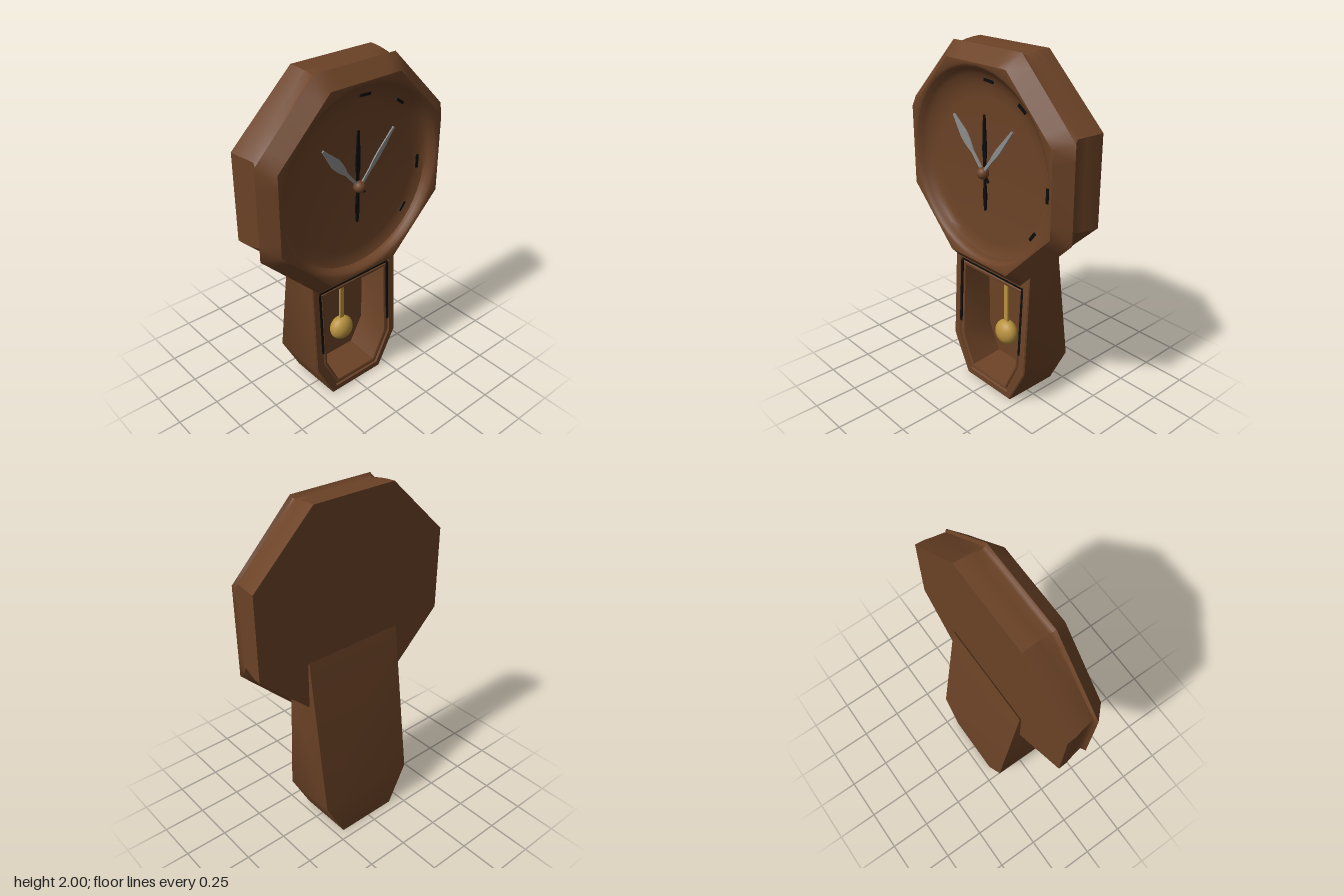
import * as THREE from 'three';
import { toCreasedNormals } from 'three/addons/utils/BufferGeometryUtils.js';

const mat = (name, color) => Object.assign(new THREE.MeshStandardMaterial({ color }), { name });

// Skin through rings of equal point count (counter-clockwise from the front), capped at both ends
function loft(rings, crease) {
  const pos = [], n = rings[0].length;
  const quad = (a, b, c, d) => [a, b, c, a, c, d].forEach(p => pos.push(...p));
  for (let k = 0; k + 1 < rings.length; k++) {
    for (let i = 0; i < n; i++) {
      const j = (i + 1) % n;
      quad(rings[k][i], rings[k][j], rings[k + 1][j], rings[k + 1][i]);
    }
  }
  const cap = (r, flip) => {
    for (let k = 0; k < n / 2 - 1; k++) {
      const c = [r[(n - k) % n], r[1 + k], r[2 + k], r[n - 1 - k]];
      quad(...(flip ? c.reverse() : c));
    }
  };
  cap(rings[0], true);
  cap(rings[rings.length - 1], false);
  const g = new THREE.BufferGeometry();
  g.setAttribute('position', new THREE.Float32BufferAttribute(pos, 3));
  return toCreasedNormals(g, crease);
}

// Octagonal or round ring for the clock head
function headRing(r, z, cy, { round = false, ry = r, cx = 0 } = {}) {
  return Array.from({ length: 48 }, (_, i) => {
    const t = i / 48 * Math.PI * 2, eighth = Math.PI / 4;
    const off = ((t + eighth / 2) % eighth) - eighth / 2;
    const k = round ? 1 : 1 / Math.cos(off);
    return [cx + r * k * Math.cos(t), cy + ry * k * Math.sin(t), z];
  });
}

// Six-sided ring for the pendulum case; zAt gives depth by height
function caseRing(halfLow, half, bottom, shoulder, top, zAt) {
  const c = 0.012;
  return [[-halfLow, bottom], [halfLow, bottom], [half, shoulder], [half, top], [-half, top], [-half, shoulder]]
    .map(([x, y]) => [c + x, y, zAt(y)]);
}

export function createModel() {
  const group = new THREE.Group();
  const wood = mat('brown wood', 0x6b4226);
  const silver = mat('silver metal', 0x8c8c8c);
  const black = mat('black', 0x0c0c0c);
  const gold = mat('gold metal', 0xb8923f);

  const add = (name, geometry, material, x = 0, y = 0, z = 0) => {
    const m = new THREE.Mesh(geometry, material);
    m.name = name;
    m.position.set(x, y, z);
    group.add(m);
    return m;
  };

  // Octagonal head with waisted side, chamfered bezel and dished dial
  add('clockHead', loft([
    headRing(0.62, -0.06, 1.415, { ry: 0.585 }),
    headRing(0.617, -0.01, 1.415, { ry: 0.583 }),
    headRing(0.606, 0.04, 1.415, { ry: 0.578 }),
    headRing(0.598, 0.09, 1.418, { ry: 0.565 }),
    headRing(0.603, 0.107, 1.39, { ry: 0.595 }),
    headRing(0.617, 0.12, 1.383),
    headRing(0.543, 0.197, 1.383),
    headRing(0.535, 0.197, 1.383, { round: true }),
    headRing(0.522, 0.188, 1.381, { round: true }),
    headRing(0.508, 0.165, 1.375, { round: true }),
    headRing(0.497, 0.15, 1.365, { round: true, cx: 0.005 }),
    headRing(0.484, 0.138, 1.352, { round: true, cx: 0.01 }),
    headRing(0.45, 0.125, 1.347, { round: true, cx: 0.01 }),
    headRing(0.40, 0.12, 1.345, { round: true, cx: 0.01 }),
  ], 0.75), wood);

  // Tapered pendulum case with stepped frame and hollow
  const back = y => -0.195 + Math.max(0, y - 0.235) * 0.134;
  const front = y => 0.143 - Math.max(0, y - 0.235) * 0.055;
  const inset = d => y => front(y) - d;
  add('pendulumCase', loft([
    caseRing(0.187, 0.307, 0, 0.235, 1.17, back),
    caseRing(0.187, 0.307, 0, 0.235, 0.88, inset(0.006)),
    caseRing(0.182, 0.301, 0.006, 0.237, 0.87, front),
    caseRing(0.162, 0.265, 0.04, 0.245, 0.755, front),
    caseRing(0.159, 0.26, 0.045, 0.247, 0.75, inset(0.012)),
    caseRing(0.152, 0.247, 0.058, 0.25, 0.738, inset(0.012)),
    caseRing(0.148, 0.24, 0.065, 0.252, 0.73, inset(0.004)),
    caseRing(0.14, 0.227, 0.075, 0.255, 0.715, inset(0.008)),
    caseRing(0.128, 0.212, 0.1, 0.26, 0.69, () => -0.06),
  ], 0.5), wood);

  // Dark gaps around the case door
  for (const [name, s] of [['leftDoorGap', 1], ['rightDoorGap', -1]]) {
    const gap = add(name, new THREE.BoxGeometry(0.02, 0.4, 0.006), black, 0.012 + s * 0.255, 0.535, front(0.535) - 0.006);
    gap.rotation.x = -0.055;
  }
  add('topDoorGap', new THREE.BoxGeometry(0.51, 0.01, 0.006), black, 0.012, 0.745, front(0.745) - 0.006);

  // Pendulum
  add('pendulumRod', new THREE.BoxGeometry(0.028, 0.36, 0.012), gold, 0.013, 0.515, -0.005);
  add('pendulumBob', new THREE.SphereGeometry(0.077, 24, 16), gold, 0.013, 0.315, -0.005).scale.z = 0.75;

  // Leaf-shaped hands, widest at a given distance from the pivot
  const hand = (name, length, width, widest, angle, material, z) => {
    const s = new THREE.Shape();
    s.moveTo(-0.008, 0);
    s.lineTo(0.008, 0);
    s.lineTo(0.009, widest * 0.55);
    s.quadraticCurveTo(width / 2, widest * 0.75, width / 2, widest);
    s.lineTo(0.006, length);
    s.lineTo(-0.006, length);
    s.lineTo(-width / 2, widest);
    s.quadraticCurveTo(-width / 2, widest * 0.75, -0.009, widest * 0.55);
    const g = new THREE.ExtrudeGeometry(s, { depth: 0.008, bevelEnabled: false });
    add(name, g, material, 0, 1.345, z).rotation.z = angle;
  };
  hand('hourHand', 0.36, 0.056, 0.24, 0.72, silver, 0.143);
  hand('minuteHand', 0.355, 0.03, 0.2, -0.7, silver, 0.152);
  hand('alarmHand', 0.31, 0.03, 0.13, 0, black, 0.134);
  hand('alarmHandTail', 0.215, 0.026, 0.14, Math.PI, black, 0.134);
  hand('shortTail', 0.06, 0.016, 0.03, -2.4, black, 0.145);
  add('handPivot', new THREE.SphereGeometry(0.033, 20, 14), wood, 0, 1.345, 0.152);

  // Small dark marks around the dial
  for (const [x, y, w] of [[0.04, 1.835, 0.07], [0.28, 1.74, 0.06], [0.45, 1.34, 0.08], [0.35, 1.09, 0.06], [-0.06, 0.86, 0.09]]) {
    const a = Math.atan2(y - 1.347, x - 0.01), r = Math.hypot(x - 0.01, y - 1.347);
    const z = r > 0.47 ? 0.14 : 0.126;
    add('dialMark', new THREE.BoxGeometry(0.016, w, 0.008), black, x, y, z).rotation.z = a;
  }
  return group;
}
